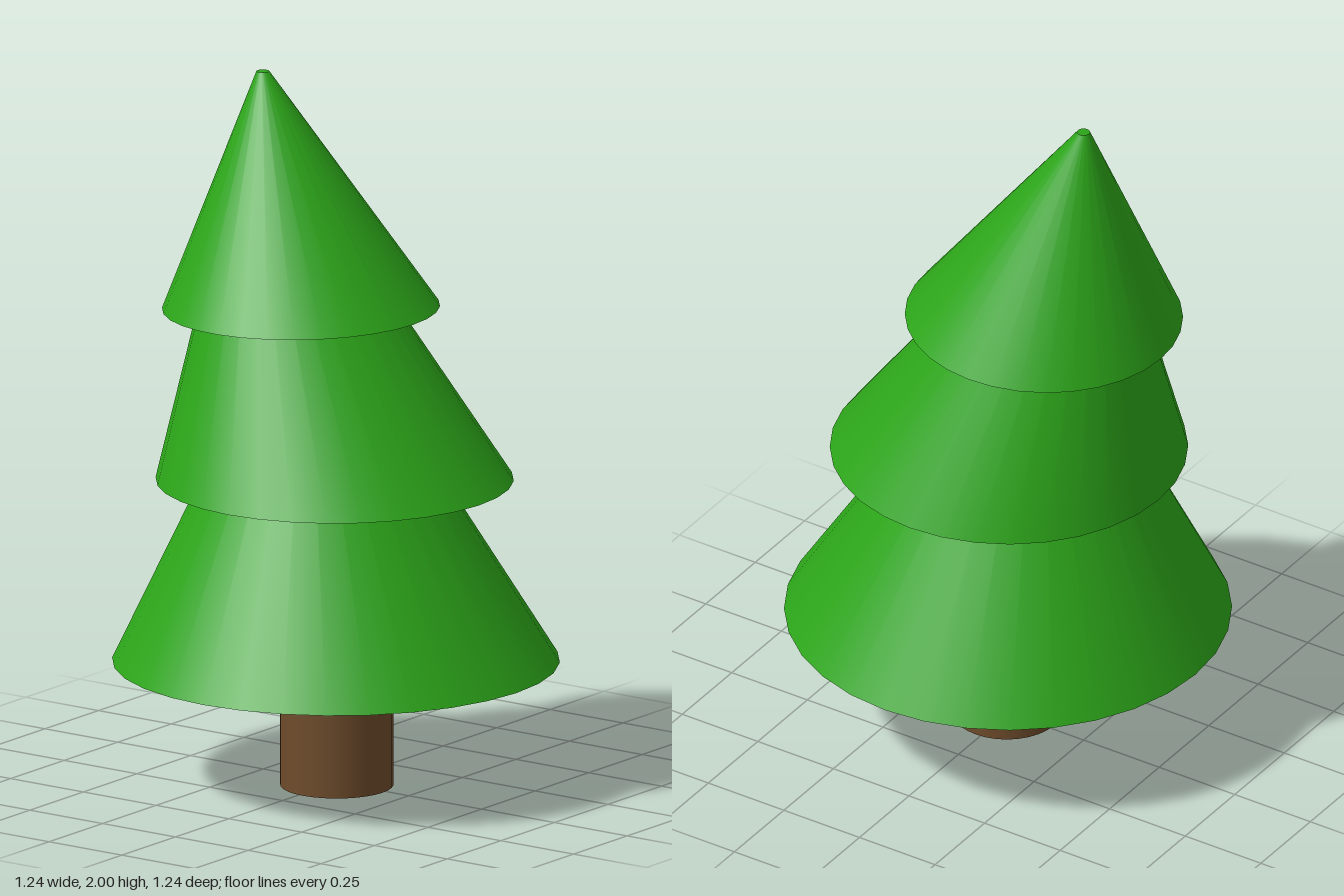
import * as THREE from 'three';
import { mergeVertices } from 'three/addons/utils/BufferGeometryUtils.js';

const SEGMENTS = 32;

// Open cone whose tip is shifted sideways; base and tip are [x, y, z, radius]
function leaningCone(base, tip, tilt = 0) {
  const height = tip[1] - base[1];
  const geo = new THREE.CylinderGeometry(tip[3], base[3], height, SEGMENTS, 1, true);
  geo.deleteAttribute('uv');
  geo.deleteAttribute('normal');
  const pos = geo.attributes.position;
  for (let i = 0; i < pos.count; i++) {
    const t = pos.getY(i) / height + 0.5;
    const x = pos.getX(i);
    pos.setXYZ(
      i,
      x + THREE.MathUtils.lerp(base[0], tip[0], t),
      base[1] + t * height + x * tilt * (1 - t),
      pos.getZ(i) + THREE.MathUtils.lerp(base[2], tip[2], t)
    );
  }
  const smooth = mergeVertices(geo);
  smooth.computeVertexNormals();
  return smooth;
}

export function createModel() {
  const group = new THREE.Group();
  const leaf = new THREE.MeshStandardMaterial({ color: 0x2ca519, side: THREE.DoubleSide });
  const bark = new THREE.MeshStandardMaterial({ color: 0x6e4c2b });

  // Trunk, running up into the lowest tier
  const trunk = new THREE.Mesh(new THREE.CylinderGeometry(0.157, 0.157, 0.7, SEGMENTS), bark);
  trunk.position.set(0.015, 0.35, 0.017);
  trunk.name = 'trunk';
  group.add(trunk);

  // Three tiers, each leaning towards -x
  const tiers = [
    { name: 'lowerTier', base: [0, 0.35, 0, 0.62], tip: [-0.09, 1.42, 0.012, 0.025] },
    { name: 'middleTier', base: [0.008, 0.872, 0.017, 0.496], tip: [-0.243, 1.8, 0.016, 0.064] },
    { name: 'upperTier', base: [-0.107, 1.346, 0.018, 0.385], tip: [-0.238, 2, 0.018, 0.018], tilt: 0.02 },
  ];
  for (const { name, base, tip, tilt } of tiers) {
    const tier = new THREE.Group();
    tier.name = name;
    const cone = new THREE.Mesh(leaningCone(base, tip, tilt), leaf);
    cone.name = name + 'Cone';
    // Shallow hollow underneath, rising from the rim to a point
    const [x, y, z, r] = base;
    const underside = new THREE.Mesh(leaningCone(base, [x, y + 0.62 * r, z, 0], tilt), leaf);
    underside.name = name + 'Underside';
    // Small flat tip
    const cap = new THREE.Mesh(new THREE.CircleGeometry(tip[3], SEGMENTS), leaf);
    cap.rotation.x = -Math.PI / 2;
    cap.position.set(tip[0], tip[1], tip[2]);
    cap.name = name + 'Tip';
    tier.add(cone, underside, cap);
    group.add(tier);
  }
  return group;
}
